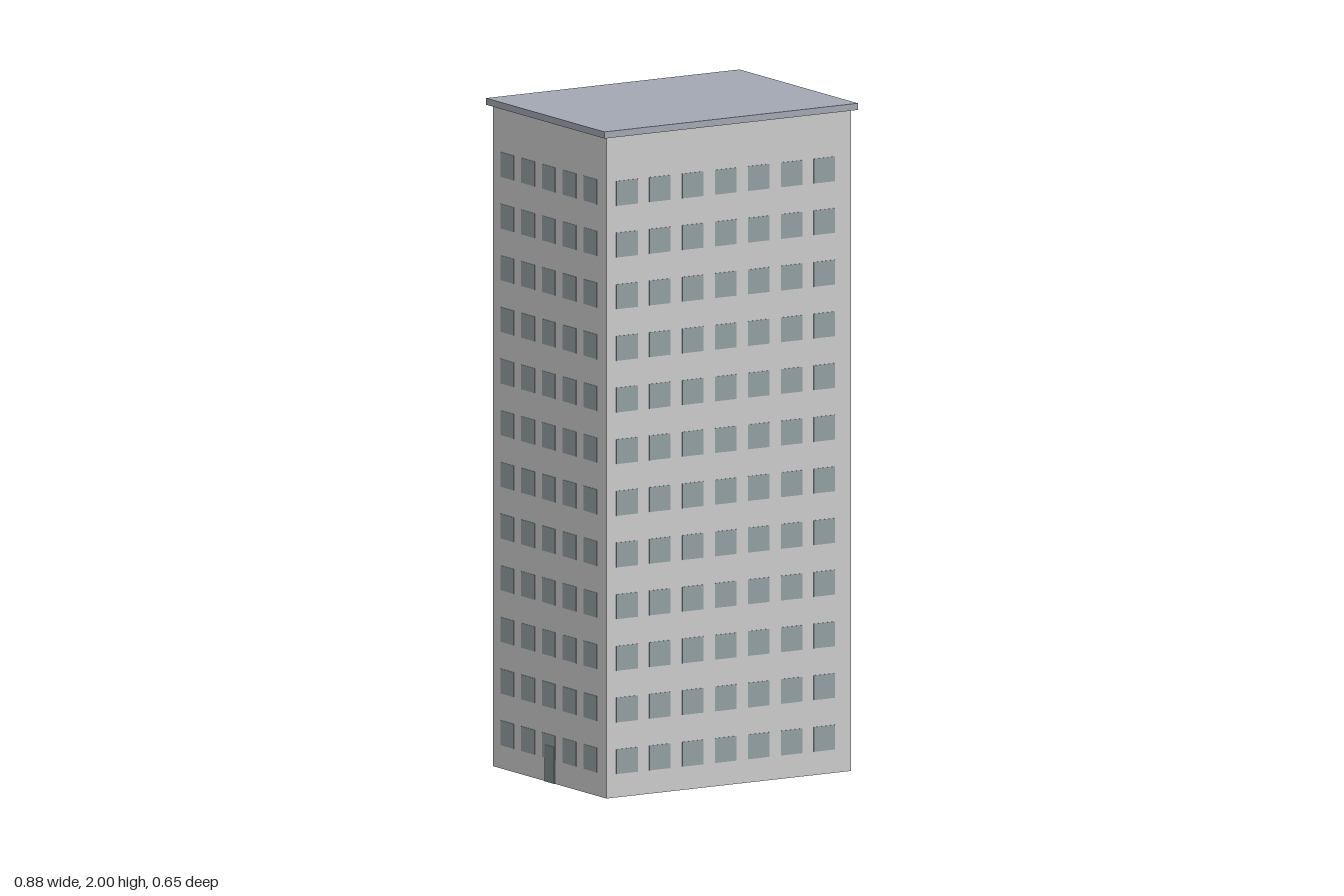
import * as THREE from 'three';

const W = 0.85, D = 0.627, H = 1.98;      // tower walls
const PANE = 0.074, ROWS = 12;

const wallMat = new THREE.MeshStandardMaterial({ color: 0xcccccc });
const roofMat = new THREE.MeshStandardMaterial({ color: 0xa2a7b2 });
const glassMat = new THREE.MeshStandardMaterial({ color: 0x929fa1 });
const doorMat = new THREE.MeshStandardMaterial({ color: 0x7d8d8b });

function box(name, mat, w, h, d, x, y, z) {
  const mesh = new THREE.Mesh(new THREE.BoxGeometry(w, h, d), mat);
  mesh.name = name;
  mesh.position.set(x, y, z);
  return mesh;
}

export function createModel() {
  const model = new THREE.Group();
  model.name = 'towerBlock';

  // Walls and overhanging roof slab
  model.add(box('walls', wallMat, W, H, D, 0, H / 2, 0));
  model.add(box('roofSlab', roofMat, 0.882, 0.02, 0.655, 0, 1.99, 0));

  // Window grid: panes set almost flush in all four walls
  const windows = new THREE.Group();
  windows.name = 'windows';
  const t = 0.004, proud = 0.0015;
  for (let row = 0; row < ROWS; row++) {
    const y = 0.107 + row * 0.1547;
    for (const side of [-1, 1]) {
      const z = side * (D / 2 + proud - t / 2);
      for (let i = 0; i < 7; i++) {
        windows.add(box('window', glassMat, PANE, PANE, t, -0.354 + i * 0.1145, y, z));
      }
      const x = side * (W / 2 + proud - t / 2);
      for (let i = 0; i < 5; i++) {
        windows.add(box('window', glassMat, t, PANE, PANE, x, y, -0.235 + i * 0.115));
      }
    }
  }
  model.add(windows);

  // A narrow door at the foot of each short side
  for (const side of [-1, 1]) {
    model.add(box('door', doorMat, 0.006, 0.11, 0.053, side * (W / 2), 0.055, 0.002));
  }
  return model;
}
